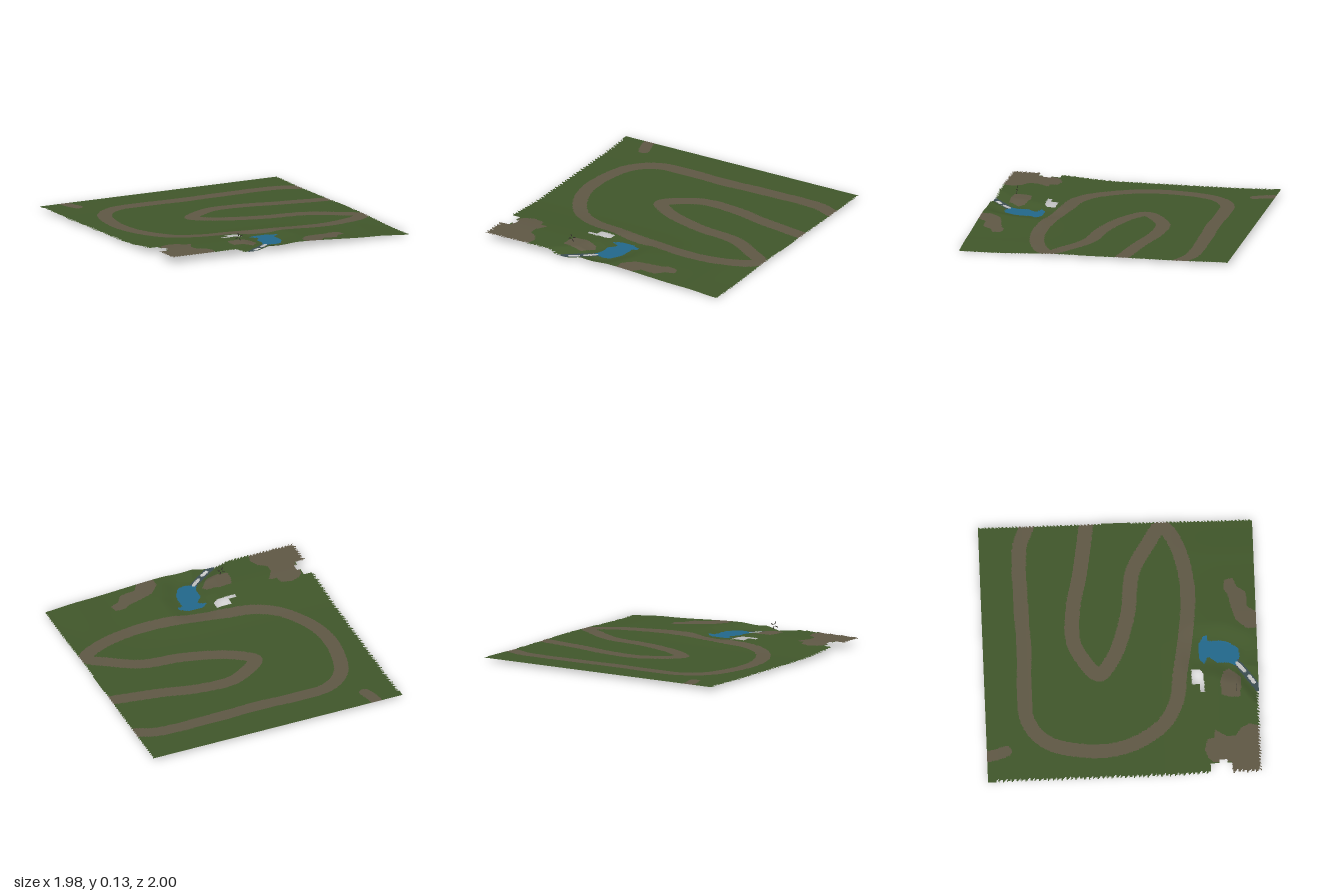
import * as THREE from 'three';

const V = (x, z) => new THREE.Vector2(x, z);
const poly = (...c) => Array.from({ length: c.length / 2 }, (_, i) => V(c[2 * i], c[2 * i + 1]));
const curve = (n, ...c) => new THREE.SplineCurve(poly(...c)).getPoints(n);
const step = THREE.MathUtils.smoothstep;

// Ground plan, in x and z
const track = curve(150, 1.06, -0.61, 0.95, -0.66, 0.78, -0.71, 0.35, -0.71, 0.03, -0.7, -0.3, -0.71, -0.53, -0.69,
  -0.69, -0.56, -0.76, -0.34, -0.77, -0.1, -0.71, 0.11, -0.58, 0.3, -0.4, 0.4, -0.2, 0.43, 0.09, 0.48,
  0.41, 0.51, 0.68, 0.48, 0.89, 0.4, 0.94, 0.32, 0.83, 0.24, 0.6, 0.11, 0.3, 0.07, 0.03, -0.01,
  -0.13, -0.1, -0.18, -0.17, -0.08, -0.26, 0.09, -0.34, 0.35, -0.33, 0.62, -0.27, 1.06, -0.2);
const spur = curve(8, -0.79, -1.05, -0.78, -0.95, -0.75, -0.86);
const stream = poly(-0.1, 0.83, -0.2, 0.905, -0.36, 1.02);
const slits = [poly(-0.13, 0.85, -0.19, 0.9), poly(-0.235, 0.935, -0.28, 0.965)];
const lake = poly(-0.13, 0.61, -0.1, 0.58, -0.05, 0.57, 0.03, 0.575, 0.09, 0.61, 0.09, 0.637, 0.05, 0.64, 0.05, 0.74,
  0.035, 0.79, -0.01, 0.86, -0.07, 0.87, -0.15, 0.84, -0.12, 0.78, -0.12, 0.7, -0.075, 0.65, -0.08, 0.63);
const dirtPatches = [
  poly(-1.1, 0.8, -0.9, 0.78, -0.9, 0.65, -0.86, 0.61, -0.8, 0.59, -0.72, 0.61, -0.71, 0.66, -0.65, 0.67, -0.7, 0.75,
    -0.7, 0.82, -0.64, 0.86, -0.61, 0.92, -0.66, 1.1, -1.1, 1.1),
  poly(-0.38, 0.73, -0.28, 0.72, -0.19, 0.75, -0.17, 0.79, -0.24, 0.87, -0.33, 0.87, -0.4, 0.86, -0.4, 0.8),
  poly(0.13, 0.93, 0.2, 0.85, 0.3, 0.82, 0.4, 0.8, 0.45, 0.77, 0.52, 0.78, 0.53, 0.84, 0.46, 0.87,
    0.42, 0.93, 0.3, 0.94, 0.2, 1.1, 0.13, 1.1),
];
const gaps = [
  poly(-0.29, 0.515, -0.17, 0.515, -0.17, 0.575, -0.21, 0.602, -0.35, 0.605, -0.35, 0.575, -0.29, 0.57),
  poly(-1.1, 0.63, -0.91, 0.63, -0.91, 0.69, -0.88, 0.69, -0.88, 0.75, -0.91, 0.75, -0.91, 0.785, -1.1, 0.785),
];

function inside(pts, x, z) {
  let hit = false;
  pts.forEach((a, i) => {
    const b = pts[(i + 1) % pts.length];
    if ((a.y > z) !== (b.y > z) && x < a.x + (b.x - a.x) * (z - a.y) / (b.y - a.y)) hit = !hit;
  });
  return hit;
}

// Distance from a point to an open line
function away(pts, x, z) {
  let best = 9;
  for (let i = 1; i < pts.length; i++) {
    const a = pts[i - 1], dx = pts[i].x - a.x, dz = pts[i].y - a.y;
    const t = THREE.MathUtils.clamp(((x - a.x) * dx + (z - a.y) * dz) / (dx * dx + dz * dz), 0, 1);
    best = Math.min(best, Math.hypot(x - a.x - t * dx, z - a.y - t * dz));
  }
  return best;
}

// Plain in the back, a rise in front, and a valley for the lake and stream
const lakeAxis = poly(-0.02, 0.58, -0.03, 0.72, -0.08, 0.83);
function height(x, z) {
  const rise = 0.032 * (1 - step(x, 0, 0.75)) - 0.018 * step(x, 0.7, 1);
  let h = 0.018 + rise * step(z, 0.2, 0.8) + 0.006 * step(-z, 0.6, 1);
  const valley = Math.min(step(away(lakeAxis, x, z), 0.07, 0.22), step(away(stream, x, z), 0.015, 0.11));
  h = THREE.MathUtils.lerp(Math.min(h, 0.02), h, valley);
  return h;
}

// Ragged border: triangular teeth on the left, front and right edges
function toothGap(x, z) {
  const saw = (t, period) => (t / period + 100) % 1;
  if (x < -0.965 && z > -0.94 && x + 0.99 < 0.025 * saw(z, 0.033)) return true;
  if (z > 0.98 && x < -0.35 && 1 - z < 0.02 * saw(x, 0.025)) return true;
  return x > 0.98 && Math.abs(z) > 0.1 && 0.99 - x < 0.01 * saw(z, 0.025);
}

// 0 grass, 1 dirt, 2 water, 3 stream bed, -1 nothing
function surface(x, z) {
  if (gaps.some((g) => inside(g, x, z)) || slits.some((s) => away(s, x, z) < 0.014) || toothGap(x, z)) return -1;
  if (inside(lake, x, z)) return 2;
  if (away(stream, x, z) < 0.026) return 3;
  if (away(track, x, z) < 0.053 || away(spur, x, z) < 0.042) return 1;
  return dirtPatches.some((p) => inside(p, x, z)) ? 1 : 0;
}

function terrainGeometry(n) {
  const pos = [], faces = [[], [], [], []];
  const at = (i, j) => [-0.99 + 1.98 * i / n, -1 + 2 * j / n];
  for (let j = 0; j <= n; j++) {
    for (let i = 0; i <= n; i++) {
      const [x, z] = at(i, j);
      pos.push(x, height(x, z), z);
    }
  }
  for (let j = 0; j < n; j++) {
    for (let i = 0; i < n; i++) {
      const a = j * (n + 1) + i, b = a + n + 1;
      const put = (u, corners) => {
        const kind = surface(...at(i + u, j + u));
        if (kind >= 0) faces[kind].push(...corners);
      };
      put(1 / 3, [a, b, a + 1]);
      put(2 / 3, [b, b + 1, a + 1]);
    }
  }
  const geo = new THREE.BufferGeometry();
  geo.setAttribute('position', new THREE.Float32BufferAttribute(pos, 3));
  geo.setIndex(faces.flat());
  let start = 0;
  faces.forEach((f, k) => {
    geo.addGroup(start, f.length, k);
    start += f.length;
  });
  geo.computeVertexNormals();
  return geo;
}

export function createModel() {
  const mat = (name, color) => {
    const m = new THREE.MeshStandardMaterial({ color, side: THREE.DoubleSide });
    m.name = name;
    return m;
  };
  const grass = mat('grass', 0x40562a), dirt = mat('dirt', 0x5e5744), water = mat('water', 0x22678a);
  const slate = mat('slate', 0x3a4c50), wood = mat('darkWood', 0x33302a);
  const model = new THREE.Group();
  model.name = 'landscape';

  const terrain = new THREE.Mesh(terrainGeometry(220), [grass, dirt, water, slate]);
  terrain.name = 'terrain';
  model.add(terrain);

  // Small windmill sails above the front patch
  const sails = new THREE.Group();
  sails.name = 'windmillSails';
  sails.position.set(-0.342, 0.098, 0.835);
  for (let i = 0; i < 4; i++) {
    const arm = new THREE.Group();
    const blade = new THREE.Mesh(new THREE.BoxGeometry(0.022, 0.006, 0.002), wood);
    blade.name = 'sail';
    blade.position.x = 0.02;
    arm.add(blade);
    arm.rotation.z = 0.35 + i * Math.PI / 2;
    sails.add(arm);
  }
  model.add(sails);
  return model;
}
